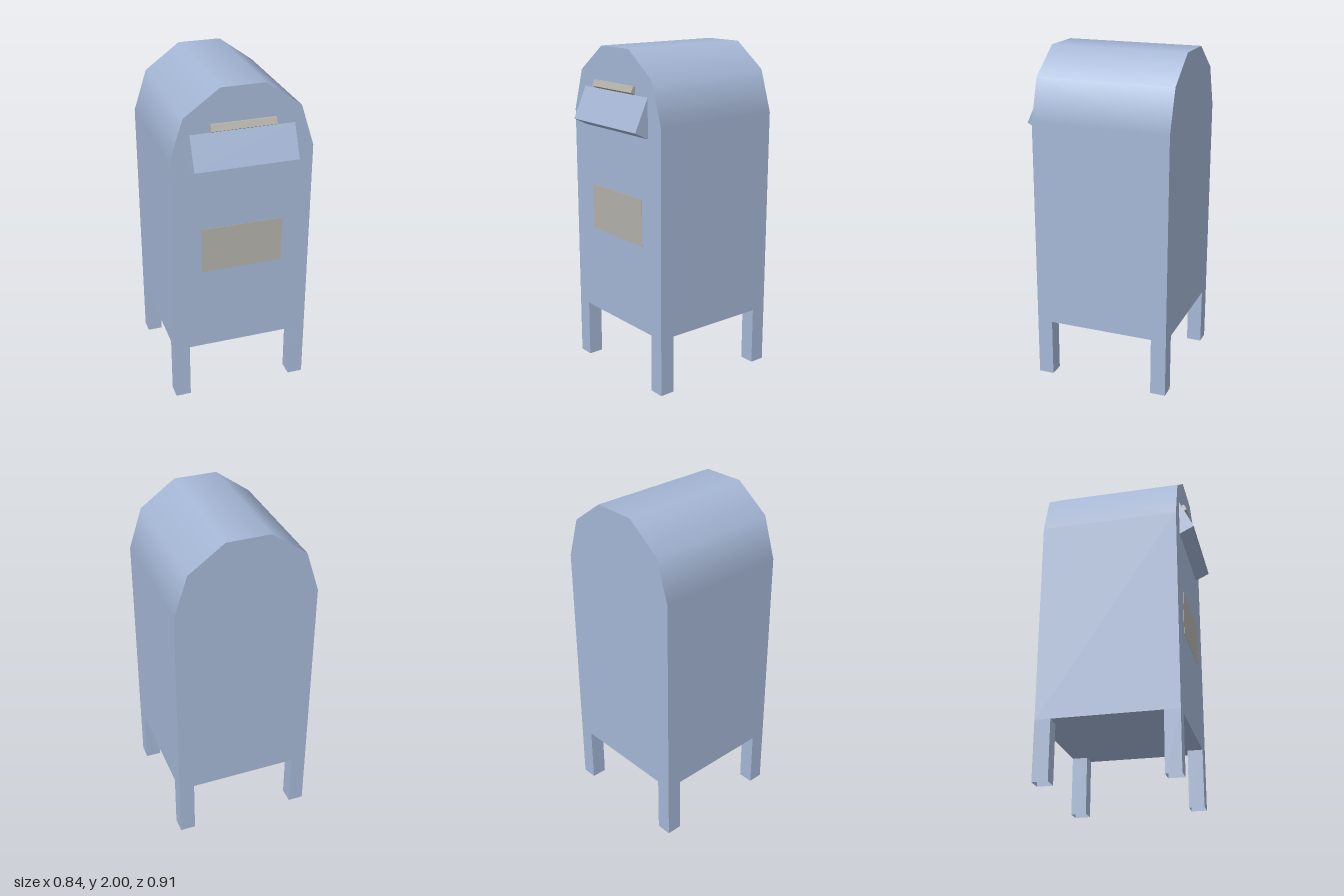
import * as THREE from 'three';

const WIDTH = 0.84, BACK = -0.457, FRONT = 0.37, FLOOR = 0.355, SHOULDER = 1.6, LEG = 0.093;
const DEPTH = FRONT - BACK, MID_Z = (FRONT + BACK) / 2;

function addMesh(parent, name, geometry, material, x = 0, y = 0, z = 0) {
  const mesh = new THREE.Mesh(geometry, material);
  mesh.name = name;
  mesh.position.set(x, y, z);
  parent.add(mesh);
  return mesh;
}

// Prism from a side profile of [z, y] points, centred across x
function sideProfile(points, width) {
  const shape = new THREE.Shape(points.map(([z, y]) => new THREE.Vector2(z, y)));
  return new THREE.ExtrudeGeometry(shape, { depth: width, bevelEnabled: false })
    .translate(0, 0, -width / 2)
    .rotateY(-Math.PI / 2);
}

// Box without its top and bottom faces
function openTube(width, height, depth) {
  const geometry = new THREE.BoxGeometry(width, height, depth);
  const index = Array.from(geometry.index.array);
  geometry.setIndex([...index.slice(0, 12), ...index.slice(24)]);
  geometry.clearGroups();
  return geometry;
}

export function createModel() {
  const model = new THREE.Group();
  model.name = 'mailbox';
  const blue = new THREE.MeshStandardMaterial({ color: 0xa5b7d6 });
  blue.name = 'pale blue';
  const blueOpen = blue.clone();
  blueOpen.side = THREE.DoubleSide;
  const beige = new THREE.MeshStandardMaterial({ color: 0xb4b1aa });
  beige.name = 'warm grey';

  // Cabinet and its five-sided, smoothly shaded roof
  const height = SHOULDER - FLOOR;
  addMesh(model, 'cabinet', new THREE.BoxGeometry(WIDTH, height, DEPTH), blue, 0, FLOOR + height / 2, MID_Z);
  const roof = new THREE.CylinderGeometry(WIDTH / 2, WIDTH / 2, DEPTH, 5, 1, false, Math.PI / 2, Math.PI)
    .rotateX(Math.PI / 2);
  addMesh(model, 'roof', roof, blue, 0, SHOULDER, MID_Z);

  // Hollow corner legs
  const legGeometry = openTube(LEG, FLOOR, LEG);
  for (const side of [1, -1]) {
    for (const end of [1, -1]) {
      const name = (end > 0 ? 'front' : 'back') + (side > 0 ? 'Left' : 'Right') + 'Leg';
      addMesh(model, name, legGeometry, blueOpen,
        side * (WIDTH - LEG) / 2, FLOOR / 2, MID_Z + end * (DEPTH - LEG) / 2);
    }
  }

  // Tilted letter flap with its pull handle
  addMesh(model, 'letterFlap', sideProfile([[0.35, 1.51], [0.457, 1.562], [0.37, 1.75], [0.35, 1.75]], 0.608), blue);
  addMesh(model, 'flapHandle',
    sideProfile([[0.36, 1.745], [0.4, 1.765], [0.383, 1.8], [0.36, 1.8]], 0.38), beige);

  // Blank notice plate on the front
  addMesh(model, 'noticePlate', new THREE.BoxGeometry(0.49, 0.28, 0.004), beige, 0, 1.02, FRONT);

  return model;
}
